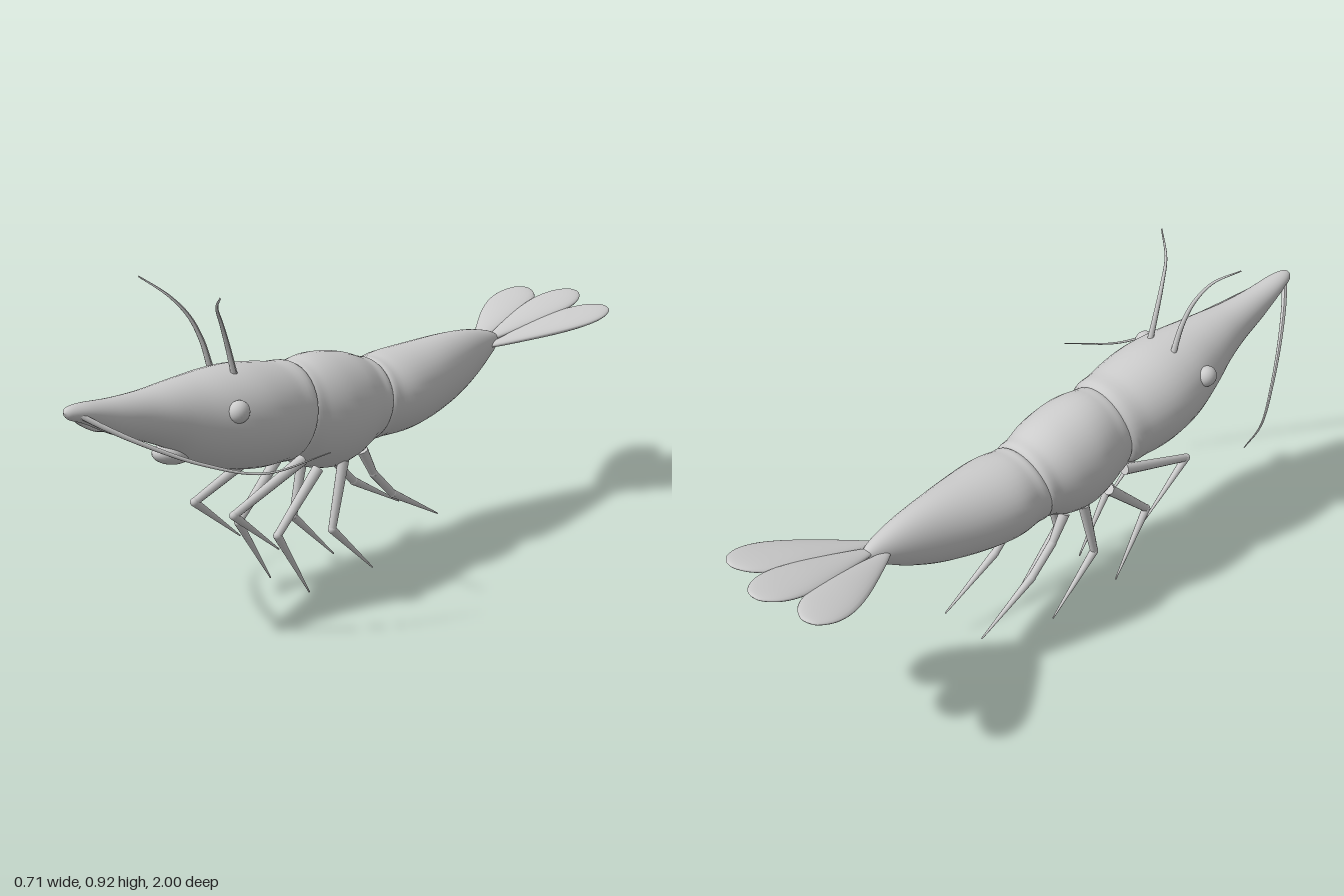
import * as THREE from 'three';

const material = new THREE.MeshStandardMaterial({ color: 0xcccccc });
const V = (x, y, z) => new THREE.Vector3(x, y, z);

function addMesh(parent, name, geometry) {
  const mesh = new THREE.Mesh(geometry, material);
  mesh.name = name;
  parent.add(mesh);
  return mesh;
}

// Smooth skin through oval sections, front to back: [z, top, bottom, halfWidth, slant]
function loft(sections, rings = 48, sides = 36) {
  const height = new THREE.CatmullRomCurve3(sections.map(s => V(s[0], s[1], s[2])), false, 'catmullrom', 0.5);
  const width = new THREE.CatmullRomCurve3(sections.map(s => V(s[0], s[3], s[4] || 0)), false, 'catmullrom', 0.5);
  const positions = [], index = [];
  for (let i = 0; i <= rings; i++) {
    const h = height.getPoint(i / rings), w = width.getPoint(i / rings);
    const middle = (h.y + h.z) / 2, half = Math.max(0, (h.y - h.z) / 2);
    for (let j = 0; j < sides; j++) {
      const a = (j / sides) * Math.PI * 2;
      positions.push(Math.max(0, w.y) * Math.cos(a), middle + half * Math.sin(a), h.x + w.z * Math.sin(a));
      if (i === rings) continue;
      const p = i * sides + j, q = i * sides + (j + 1) % sides;
      index.push(p, p + sides, q, q, p + sides, q + sides);
    }
  }
  const geometry = new THREE.BufferGeometry();
  geometry.setAttribute('position', new THREE.Float32BufferAttribute(positions, 3));
  geometry.setIndex(index);
  geometry.computeVertexNormals();
  return geometry;
}

// Tube along a curve that narrows from r0 to r1
function taperedTube(points, r0, r1, segments = 32, sides = 8) {
  const curve = new THREE.CatmullRomCurve3(points);
  const geometry = new THREE.TubeGeometry(curve, segments, r0, sides);
  const position = geometry.attributes.position, v = V();
  for (let i = 0; i < position.count; i++) {
    const t = Math.floor(i / (sides + 1)) / segments;
    const centre = curve.getPointAt(t);
    v.fromBufferAttribute(position, i).sub(centre).multiplyScalar(1 + t * (r1 / r0 - 1)).add(centre);
    position.setXYZ(i, v.x, v.y, v.z);
  }
  geometry.computeVertexNormals();
  return geometry;
}

// Straight tapered leg piece between two joints
function limb(parent, name, a, b, r0, r1) {
  const mesh = addMesh(parent, name, new THREE.CylinderGeometry(r1, r0, a.distanceTo(b), 12));
  mesh.position.copy(a).add(b).multiplyScalar(0.5);
  mesh.quaternion.setFromUnitVectors(V(0, 1, 0), b.clone().sub(a).normalize());
}

export function createModel() {
  const model = new THREE.Group();
  model.name = 'shrimp';

  // Body shells
  addMesh(model, 'headShell', loft([
    [1.0, 0.68, 0.68, 0], [0.985, 0.693, 0.66, 0.018], [0.94, 0.694, 0.64, 0.032],
    [0.85, 0.685, 0.59, 0.046], [0.75, 0.681, 0.548, 0.064], [0.67, 0.683, 0.508, 0.086],
    [0.6, 0.685, 0.458, 0.108], [0.5, 0.685, 0.414, 0.138], [0.4, 0.678, 0.39, 0.149],
    [0.3, 0.655, 0.383, 0.138, -0.015], [0.235, 0.632, 0.39, 0.117, -0.025], [0.235, 0.51, 0.51, 0],
  ], 66));
  addMesh(model, 'middleShell', loft([
    [0.25, 0.5, 0.5, 0], [0.245, 0.62, 0.4, 0.105, -0.015], [0.19, 0.643, 0.347, 0.126, -0.01],
    [0.11, 0.645, 0.318, 0.141], [0.03, 0.627, 0.324, 0.136, -0.01], [-0.03, 0.6, 0.347, 0.12, -0.015],
    [-0.075, 0.575, 0.372, 0.105, -0.015], [-0.09, 0.47, 0.47, 0],
  ]));
  addMesh(model, 'tailShell', loft([
    [-0.045, 0.47, 0.47, 0], [-0.06, 0.572, 0.368, 0.104, -0.02], [-0.11, 0.585, 0.357, 0.117, -0.012],
    [-0.18, 0.589, 0.354, 0.126], [-0.28, 0.589, 0.363, 0.112], [-0.4, 0.588, 0.388, 0.084],
    [-0.5, 0.58, 0.428, 0.059], [-0.58, 0.563, 0.475, 0.036], [-0.625, 0.545, 0.505, 0.018],
    [-0.643, 0.525, 0.525, 0],
  ]));

  // Lower lip beneath the beak
  const lip = addMesh(model, 'lowerLip', new THREE.SphereGeometry(1, 24, 16));
  lip.scale.set(0.04, 0.028, 0.06);
  lip.position.set(0, 0.49, 0.65);
  lip.rotation.x = -0.2;

  // Tail fan
  const petal = loft([
    [0, 0, 0, 0], [-0.02, 0.007, -0.007, 0.013], [-0.12, 0.013, -0.013, 0.04],
    [-0.22, 0.016, -0.016, 0.062], [-0.3, 0.015, -0.015, 0.069], [-0.36, 0.012, -0.012, 0.058],
    [-0.4, 0.007, -0.007, 0.03], [-0.412, 0, 0, 0],
  ], 40, 24);
  for (const side of [-1, 0, 1]) {
    const blade = addMesh(model, side ? 'sideTailBlade' : 'centreTailBlade', petal);
    blade.position.set(side * 0.025, side ? 0.52 : 0.528, side ? -0.57 : -0.593);
    blade.rotation.set(0.18, -side * 0.34, 0);
  }

  // Leg joints as [z, y], hip to tip
  const legs = [
    [[0.25, 0.39], [0.505, 0.3], [0.34, 0.16]],
    [[0.19, 0.35], [0.345, 0.2], [0.225, 0.003]],
    [[0.09, 0.35], [0.135, 0.16], [-0.027, 0.003]],
    [[0.015, 0.36], [-0.03, 0.28], [-0.11, 0.2], [-0.3, 0.09]],
  ];

  for (const side of [-1, 1]) {
    const label = side > 0 ? 'left' : 'right';

    const eye = addMesh(model, label + 'Eye', new THREE.SphereGeometry(0.03, 24, 16));
    eye.position.set(side * 0.122, 0.6, 0.525);
    eye.scale.x = 0.9;

    addMesh(model, label + 'UpperAntenna', taperedTube([
      V(side * 0.045, 0.665, 0.465), V(side * 0.049, 0.75, 0.492), V(side * 0.062, 0.82, 0.525),
      V(side * 0.09, 0.876, 0.567), V(side * 0.152, 0.924, 0.612),
    ], 0.009, 0.002));
    addMesh(model, label + 'LongAntenna', taperedTube([
      V(side * 0.015, 0.672, 0.965), V(side * 0.06, 0.634, 0.915), V(side * 0.125, 0.58, 0.83),
      V(side * 0.2, 0.524, 0.72), V(side * 0.28, 0.488, 0.59), V(side * 0.355, 0.522, 0.43),
    ], 0.008, 0.0015, 48));

    legs.forEach((joints, n) => {
      const leg = new THREE.Group();
      leg.name = label + 'Leg' + (n + 1);
      const points = joints.map(([z, y]) => V(side * 0.075, y, z));
      for (let i = 0; i < points.length - 1; i++) {
        const last = i === points.length - 2;
        limb(leg, last ? 'lowerLeg' : 'upperLeg', points[i], points[i + 1], i ? 0.012 : 0.016, last ? 0.002 : 0.011);
        if (i === 0) continue;
        const joint = addMesh(leg, 'joint', new THREE.SphereGeometry(0.012, 12, 8));
        joint.position.copy(points[i]);
      }
      model.add(leg);
    });
  }
  return model;
}
